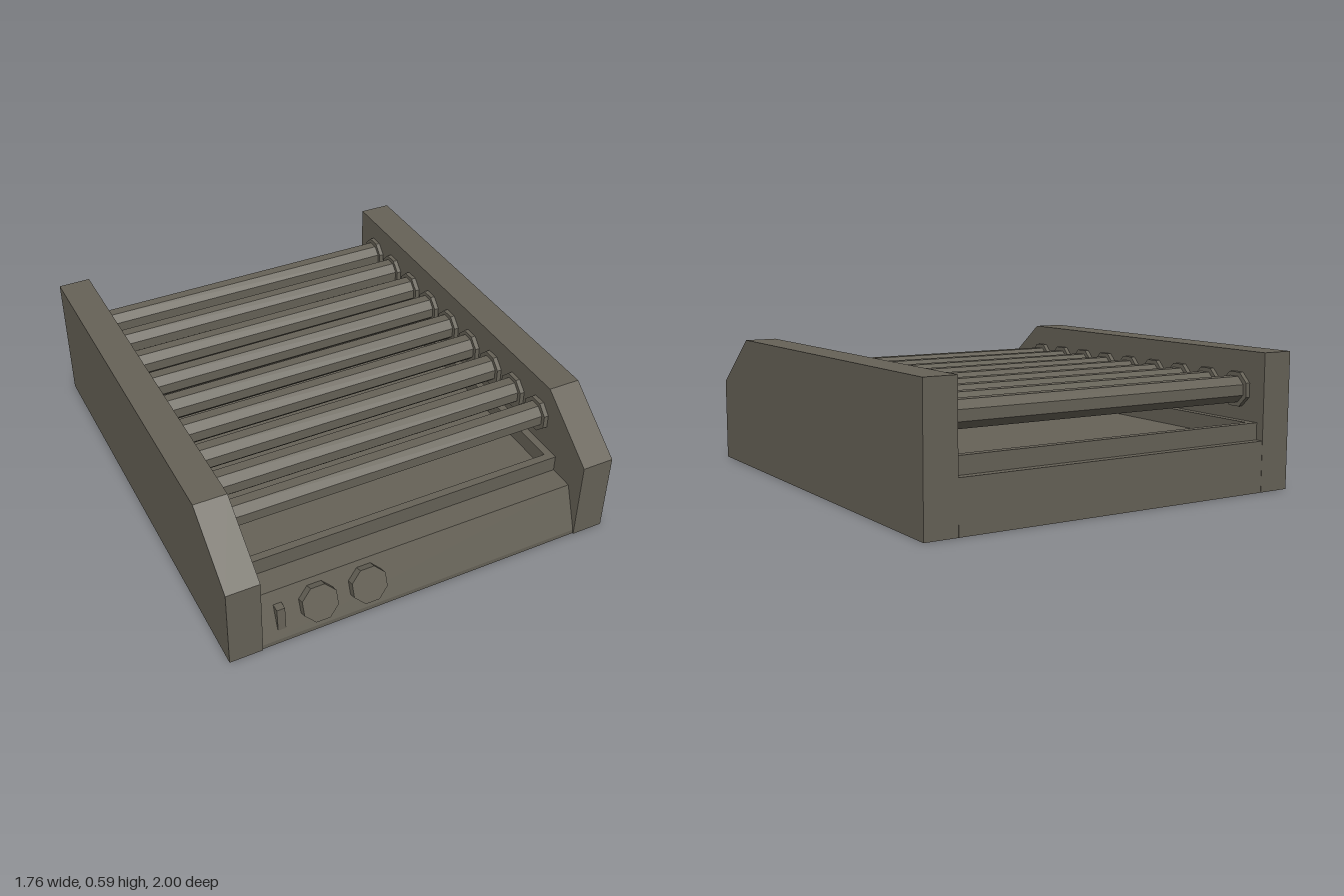
import * as THREE from 'three';

const metal = new THREE.MeshStandardMaterial({ color: 0x666257, flatShading: true });
metal.name = 'warm grey metal';

function add(parent, name, geometry, x = 0, y = 0, z = 0) {
  const mesh = new THREE.Mesh(geometry, metal);
  mesh.name = name;
  mesh.position.set(x, y, z);
  parent.add(mesh);
  return mesh;
}

// Extrudes a [z, y] side profile across x, centred on x = 0
function sideProfile(points, width) {
  const shape = new THREE.Shape(points.map(([z, y]) => new THREE.Vector2(-z, y)));
  const geometry = new THREE.ExtrudeGeometry(shape, { depth: width, bevelEnabled: false });
  geometry.translate(0, 0, -width / 2);
  return geometry.rotateY(Math.PI / 2);
}

// Eight-sided bar along x with flat faces up and front; r is the flat radius
function octagonBar(r, length) {
  const geometry = new THREE.CylinderGeometry(r / Math.cos(Math.PI / 8), r / Math.cos(Math.PI / 8), length, 8);
  return geometry.rotateY(Math.PI / 8).rotateZ(Math.PI / 2);
}

export function createModel() {
  const model = new THREE.Group();
  model.name = 'rollerGrill';

  // Base with sloping control panel
  add(model, 'base', sideProfile([[-1, 0], [0.975, 0], [0.975, 0.02], [0.9, 0.22], [-1, 0.22]], 1.47));

  // Side walls with chamfered front
  const wall = sideProfile([[-1, 0], [0.98, 0], [0.98, 0.37], [0.69, 0.59], [-1, 0.59]], 0.143);
  for (const s of [-1, 1]) add(model, s > 0 ? 'leftWall' : 'rightWall', wall, s * 0.8075);

  // Raised drip tray rim
  const rim = new THREE.Shape([[-0.735, -0.79], [0.735, -0.79], [0.735, 0.965], [-0.735, 0.965]]
    .map(([x, y]) => new THREE.Vector2(x, y)));
  rim.holes.push(new THREE.Path([[-0.7, -0.755], [-0.7, 0.93], [0.7, 0.93], [0.7, -0.755]]
    .map(([x, y]) => new THREE.Vector2(x, y))));
  const rimGeometry = new THREE.ExtrudeGeometry(rim, { depth: 0.073, bevelEnabled: false });
  add(model, 'trayRim', rimGeometry.rotateX(-Math.PI / 2), 0, 0.22, 0);

  // Nine rollers with end collars
  const bar = octagonBar(0.055, 1.46);
  const collar = octagonBar(0.073, 0.02);
  for (let i = 0; i < 9; i++) {
    const roller = new THREE.Group();
    roller.name = 'roller' + (i + 1);
    roller.position.set(0, 0.425, 0.63 - i * 0.184);
    add(roller, 'bar', bar);
    for (const s of [-1, 1]) add(roller, 'collar', collar, s * 0.726);
    model.add(roller);
  }

  // Dials, square to the sloping panel
  const dial = octagonBar(0.075, 0.04).rotateY(Math.PI / 2);
  for (const x of [-0.48, -0.26]) {
    add(model, 'dial', dial, x, 0.129, 0.952).rotation.x = -Math.atan2(0.075, 0.2);
  }

  // Wedge-shaped rocker switch
  add(model, 'rockerSwitch', sideProfile([[0.94, 0.06], [0.964, 0.06], [0.956, 0.165], [0.91, 0.165]], 0.035), -0.645);

  return model;
}
